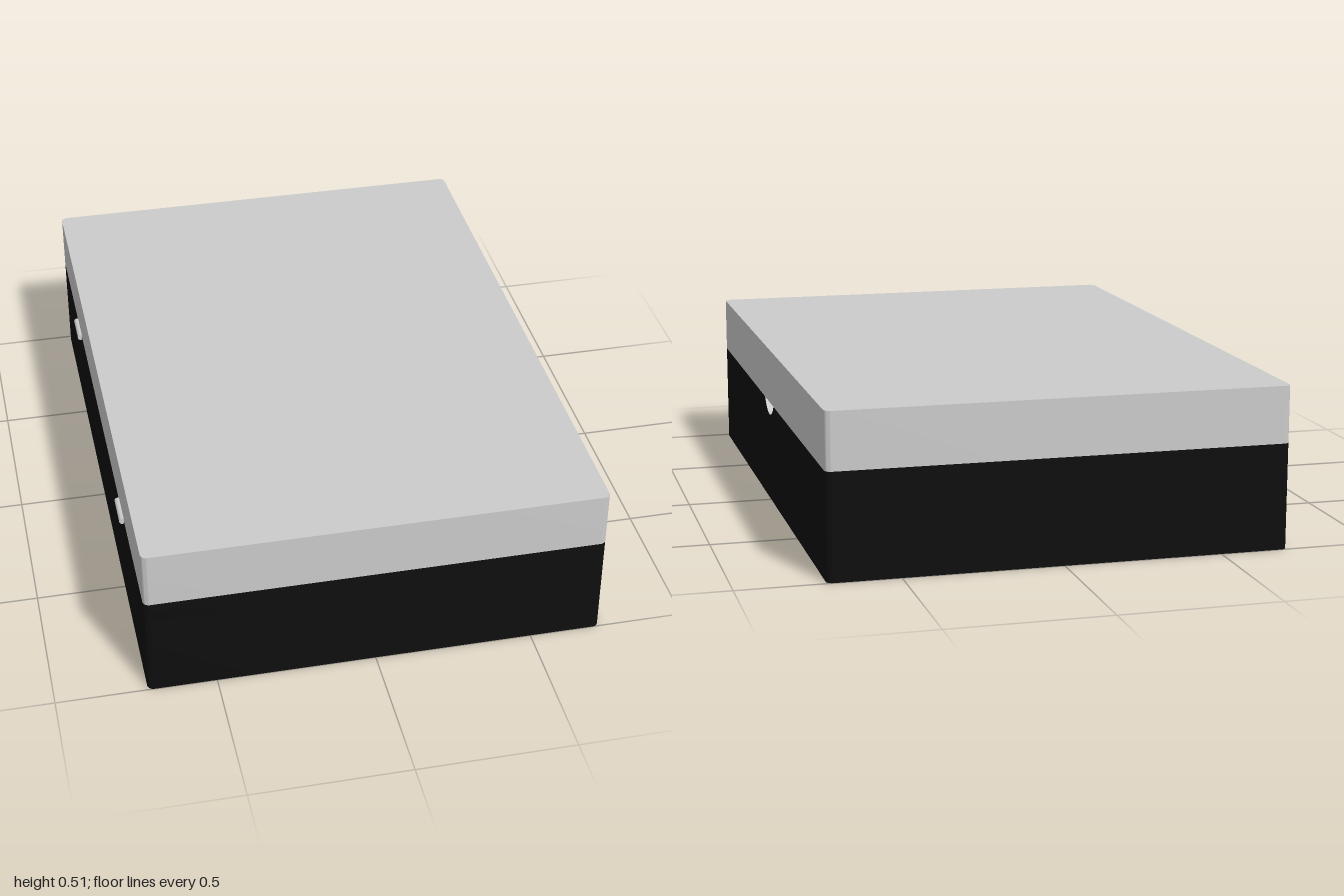
import * as THREE from 'three';
import { toCreasedNormals } from 'three/addons/utils/BufferGeometryUtils.js';

const X0 = -0.715, X1 = 0.725, Z = 1, R = 0.02;
const SEAM = 0.335, TOP = 0.515, SLOT_Y = 0.27;
const NOTCH_W = 0.085, NOTCH_D = 0.042, NOTCH_IN = 0.03;

const grey = new THREE.MeshStandardMaterial({ color: 0xcccccc });
const black = new THREE.MeshStandardMaterial({ color: 0x0e0e0e });

// Rounded rectangle footprint, optionally with a slot in the +x side
function footprint(slot) {
  const s = new THREE.Shape();
  s.moveTo(X0 + R, -Z);
  s.lineTo(X1 - R, -Z);
  s.absarc(X1 - R, -Z + R, R, -Math.PI / 2, 0);
  if (slot) {
    s.lineTo(X1, -NOTCH_W);
    s.lineTo(X1 - NOTCH_IN, -NOTCH_W);
    s.lineTo(X1 - NOTCH_IN, NOTCH_W);
    s.lineTo(X1, NOTCH_W);
  }
  s.absarc(X1 - R, Z - R, R, 0, Math.PI / 2);
  s.absarc(X0 + R, Z - R, R, Math.PI / 2, Math.PI);
  s.absarc(X0 + R, -Z + R, R, Math.PI, Math.PI * 1.5);
  return s;
}

function addMesh(parent, name, geometry, material) {
  const mesh = new THREE.Mesh(geometry, material);
  mesh.name = name;
  parent.add(mesh);
  return mesh;
}

// Vertical slab between two heights
function addSlab(parent, name, y0, y1, material, slot = false) {
  const g = new THREE.ExtrudeGeometry(footprint(slot), { depth: y1 - y0, bevelEnabled: false, curveSegments: 6 });
  g.rotateX(-Math.PI / 2).translate(0, y0, 0);
  addMesh(parent, name, toCreasedNormals(g, 0.6), material);
}

export function createModel() {
  const model = new THREE.Group();
  model.name = 'box';

  // Base, with its upper band slotted for the thumb notch
  const base = new THREE.Group();
  base.name = 'base';
  model.add(base);
  addSlab(base, 'baseLower', 0, SLOT_Y, black);
  addSlab(base, 'baseUpper', SLOT_Y, SEAM, black, true);

  // Lid
  addSlab(model, 'lid', SEAM, TOP, grey);

  // Thumb notch: black face cut by an arc, with a grey lining
  const r = (NOTCH_W ** 2 + NOTCH_D ** 2) / (2 * NOTCH_D);
  const cy = SEAM - NOTCH_D + r;
  const a = Math.atan2(SEAM - cy, NOTCH_W);
  const face = new THREE.Shape();
  face.moveTo(-NOTCH_W, SLOT_Y);
  face.lineTo(NOTCH_W, SLOT_Y);
  face.lineTo(NOTCH_W, SEAM);
  face.absarc(0, cy, r, a, Math.PI - a, true);
  const notch = new THREE.ExtrudeGeometry(face, { depth: NOTCH_IN, bevelEnabled: false, curveSegments: 24 });
  notch.rotateY(Math.PI / 2).translate(X1 - NOTCH_IN, 0, 0);
  addMesh(model, 'thumbNotch', notch, [black, grey]);
  const back = addMesh(model, 'notchBack', new THREE.BoxGeometry(0.004, SEAM - SLOT_Y, NOTCH_W * 2), grey);
  back.position.set(X1 - NOTCH_IN + 0.002, (SEAM + SLOT_Y) / 2, 0);

  // Hinge barrels on the -x side
  for (const z of [-0.53, 0.53]) {
    const hinge = addMesh(model, 'hinge', new THREE.CylinderGeometry(0.01, 0.01, 0.11, 20), grey);
    hinge.rotation.x = Math.PI / 2;
    hinge.position.set(-0.72, SEAM, z);
  }
  return model;
}
